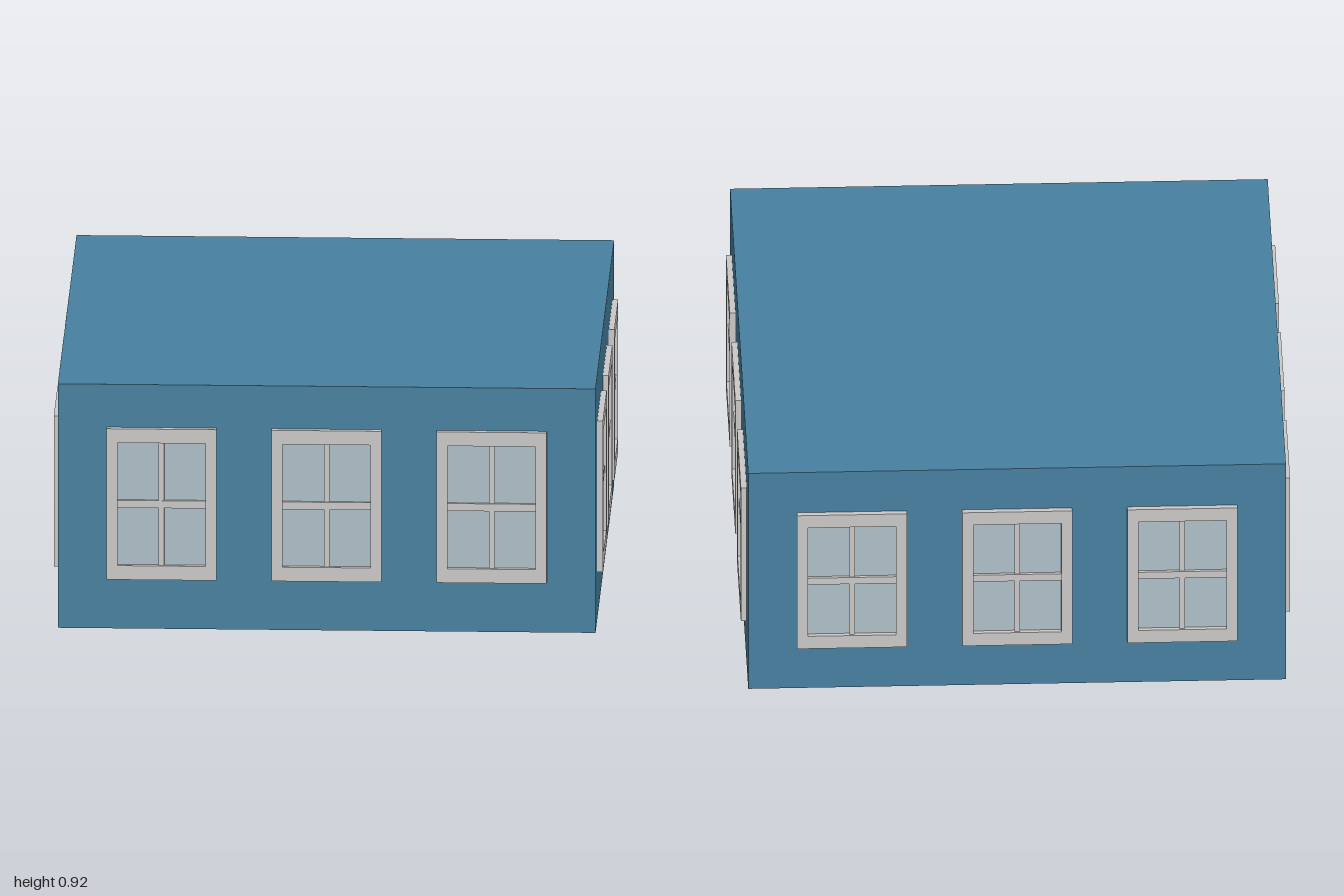
import * as THREE from 'three';

const paint = (name, color) => {
  const m = new THREE.MeshStandardMaterial({ color });
  m.name = name;
  return m;
};

const rect = (P, w, h) => {
  const p = new P();
  p.moveTo(-w / 2, -h / 2);
  p.lineTo(w / 2, -h / 2);
  p.lineTo(w / 2, h / 2);
  p.lineTo(-w / 2, h / 2);
  p.closePath();
  return p;
};

export function createModel() {
  const wall = paint('blue wall', 0x4780a0);
  const trim = paint('grey trim', 0xcbc9c8);
  const glass = paint('pale glass', 0xaec0c8);

  const HALF = 0.977, HEIGHT = 0.922, DEPTH = 0.021;
  const model = new THREE.Group();
  model.name = 'building';

  const box = (parent, name, mat, w, h, d, x, y, z) => {
    const mesh = new THREE.Mesh(new THREE.BoxGeometry(w, h, d), mat);
    mesh.name = name;
    mesh.position.set(x, y, z);
    parent.add(mesh);
  };

  box(model, 'wallBlock', wall, HALF * 2, HEIGHT, HALF * 2, 0, HEIGHT / 2, 0);

  // Surround with a rectangular opening
  const outline = rect(THREE.Shape, 0.4, 0.57);
  outline.holes.push(rect(THREE.Path, 0.32, 0.464));
  const frameGeo = new THREE.ExtrudeGeometry(outline, { depth: DEPTH, bevelEnabled: false });

  // One window, facing +z with its back on z = 0
  const makeWindow = () => {
    const win = new THREE.Group();
    win.name = 'window';
    const frame = new THREE.Mesh(frameGeo, trim);
    frame.name = 'windowFrame';
    win.add(frame);
    box(win, 'windowPane', glass, 0.322, 0.466, 0.004, 0, 0, 0.002);
    box(win, 'verticalBar', trim, 0.02, 0.464, 0.012, 0, 0, 0.006);
    box(win, 'horizontalBar', trim, 0.32, 0.028, 0.015, 0, -0.001, 0.0075);
    return win;
  };

  // Three windows on each of the four walls
  ['front', 'right', 'back', 'left'].forEach((side, i) => {
    const row = new THREE.Group();
    row.name = side + 'Windows';
    row.rotation.y = i * Math.PI / 2;
    for (const x of [-0.6, 0, 0.6]) {
      const win = makeWindow();
      win.position.set(x, i === 0 ? 0.475 : 0.465, HALF);
      row.add(win);
    }
    model.add(row);
  });

  return model;
}
